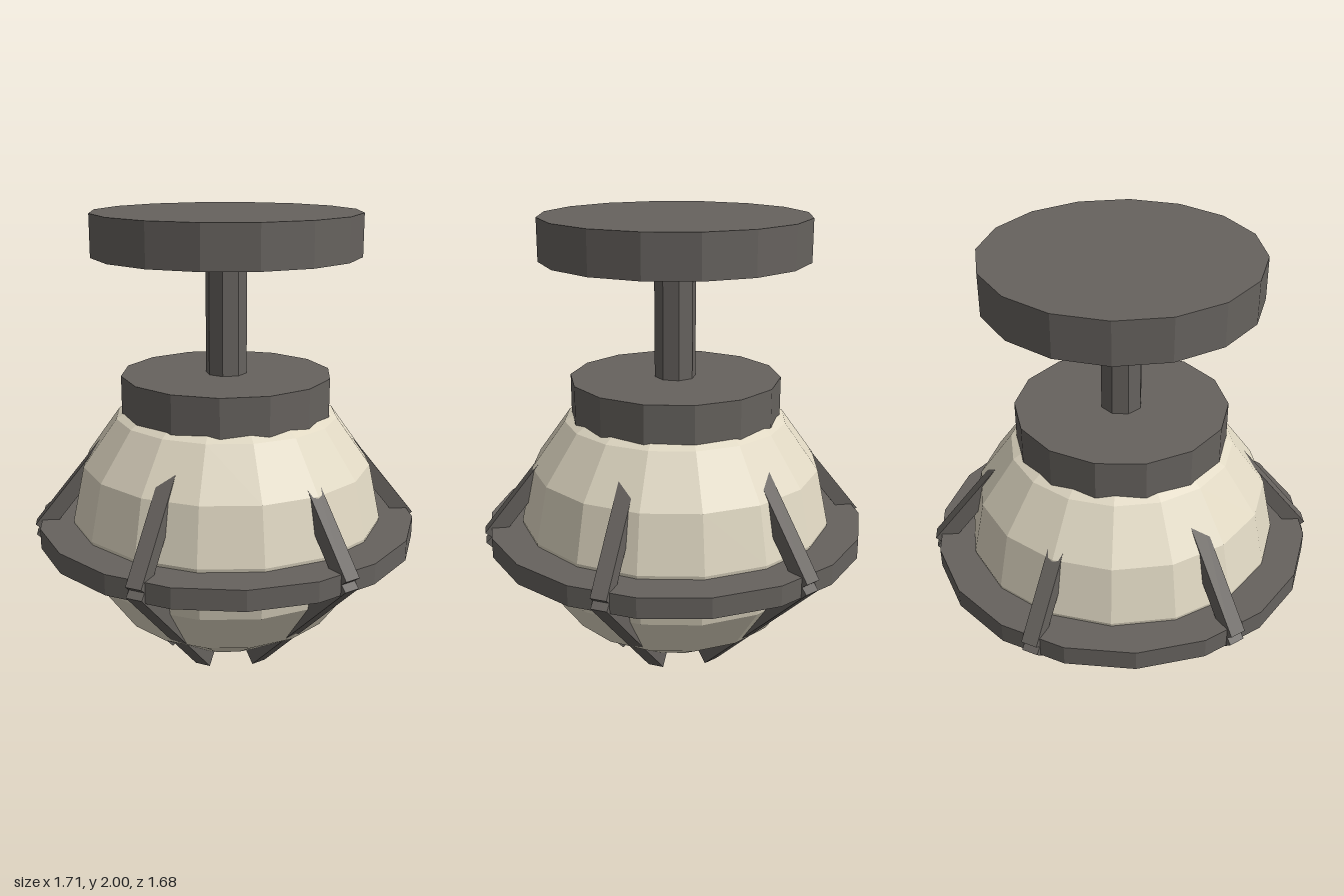
import * as THREE from 'three';

export function createModel() {
  const model = new THREE.Group();
  model.name = 'cagedCeilingLamp';

  const metal = new THREE.MeshStandardMaterial({ color: 0x66625e, flatShading: true });
  metal.name = 'dark metal';
  const glass = new THREE.MeshStandardMaterial({ color: 0xe0d8c3, flatShading: true });
  glass.name = 'cream glass';

  const add = (name, geometry, material, y = 0, parent = model) => {
    const mesh = new THREE.Mesh(geometry, material);
    mesh.name = name;
    mesh.position.y = y;
    parent.add(mesh);
    return mesh;
  };
  const disc = (name, radius, bottom, top, sides) =>
    add(name, new THREE.CylinderGeometry(radius, radius, top - bottom, sides), metal, (bottom + top) / 2);

  // Ceiling plate, stem and collar
  disc('ceilingPlate', 0.575, 1.82, 2.0, 16);
  disc('stem', 0.09, 1.31, 1.82, 8);
  disc('collar', 0.46, 1.14, 1.31, 14);

  // Slightly flattened faceted globe
  add('globe', new THREE.SphereGeometry(1, 16, 8).scale(0.69, 0.64, 0.69), glass, 0.675);

  // Flat band around the globe, with its inner edge inside the glass
  const band = [[0.64, 0.57], [0.84, 0.57], [0.84, 0.66], [0.64, 0.66], [0.64, 0.57]];
  add('cageRing', new THREE.LatheGeometry(band.map(p => new THREE.Vector2(...p)), 18), metal);

  // Square bar between two points in the radius/height plane
  const bar = (name, from, to, parent) => {
    const dx = to[0] - from[0], dy = to[1] - from[1];
    const mesh = add(name, new THREE.BoxGeometry(0.07, Math.hypot(dx, dy), 0.07), metal, 0, parent);
    mesh.position.set((from[0] + to[0]) / 2, (from[1] + to[1]) / 2, 0);
    mesh.rotation.z = Math.atan2(-dx, dy);
  };

  // Six bent cage straps, meeting at the ring
  const elbow = [0.83, 0.617];
  for (let i = 0; i < 6; i++) {
    const strap = new THREE.Group();
    strap.name = 'cageStrap';
    strap.rotation.y = (i * Math.PI) / 3;
    bar('upperBar', elbow, [0.5, 1.03], strap);
    bar('lowerBar', elbow, [0.23, 0.03], strap);
    model.add(strap);
  }
  return model;
}
